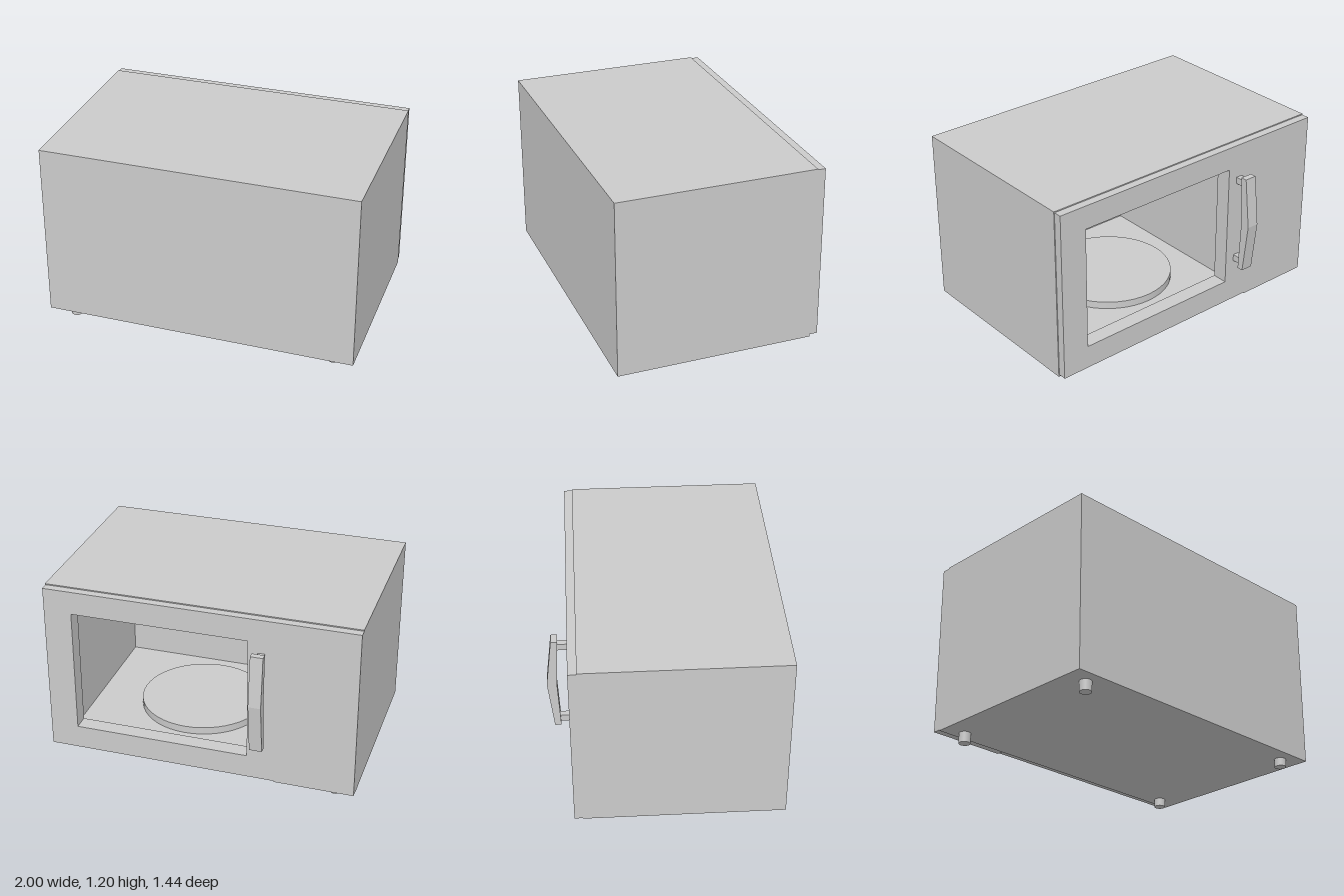
import * as THREE from 'three';

const material = new THREE.MeshStandardMaterial({ color: 0xcccccc, flatShading: true });
const smooth = new THREE.MeshStandardMaterial({ color: 0xcccccc });
const openSided = new THREE.MeshStandardMaterial({ color: 0xcccccc, flatShading: true, side: THREE.DoubleSide });

function add(group, name, geometry, mat = material) {
  const mesh = new THREE.Mesh(geometry, mat);
  mesh.name = name;
  group.add(mesh);
  return mesh;
}

const points = (list) => list.map(([x, y]) => new THREE.Vector2(x, y));
const rect = (x0, x1, y0, y1) => points([[x0, y0], [x1, y0], [x1, y1], [x0, y1]]);

// Box given by its limits on each axis
function box(x0, x1, y0, y1, z0, z1) {
  return new THREE.BoxGeometry(x1 - x0, y1 - y0, z1 - z0)
    .translate((x0 + x1) / 2, (y0 + y1) / 2, (z0 + z1) / 2);
}

// Box without its -z wall (the last six indices)
function openBox(...limits) {
  const geometry = box(...limits);
  geometry.setIndex(Array.from(geometry.index.array).slice(0, 30));
  geometry.clearGroups();
  return geometry;
}

// Upright panel with the window cut out
function windowPanel(outline, z0, z1) {
  const shape = new THREE.Shape(outline);
  shape.holes.push(new THREE.Path(rect(-0.315, 0.815, 0.232, 1.045)));
  return new THREE.ExtrudeGeometry(shape, { depth: z1 - z0, bevelEnabled: false }).translate(0, 0, z0);
}

export function createModel() {
  const model = new THREE.Group();
  model.name = 'microwaveOven';

  // Casing, cooking chamber and the wall around its opening
  add(model, 'casing', openBox(-1, 1, 0.067, 1.203, -0.48, 0.72), openSided);
  add(model, 'cookingChamber', openBox(-0.4, 0.86, 0.187, 1.08, -0.48, 0.58), openSided);
  add(model, 'openingFrame', windowPanel(rect(-1, 1, 0.067, 1.203), -0.53, -0.48));

  // Door panel, slightly lower below the controls
  add(model, 'doorPanel', windowPanel(points([
    [-1, 0.072], [-0.49, 0.072], [-0.49, 0.079], [0.995, 0.079], [0.995, 1.196], [-1, 1.196],
  ]), -0.582, -0.53));

  // Turntable plate
  add(model, 'turntable', new THREE.CylinderGeometry(0.41, 0.41, 0.048, 48), smooth)
    .position.set(0.16, 0.211, 0.03);

  // Bent handle bar on two posts
  const handle = new THREE.Group();
  handle.name = 'handle';
  const profile = new THREE.Shape(points([
    [-0.645, 1.003], [-0.685, 1.003], [-0.722, 0.677], [-0.685, 0.35], [-0.645, 0.35], [-0.66, 0.677],
  ]));
  add(handle, 'handleBar', new THREE.ExtrudeGeometry(profile, { depth: 0.08, bevelEnabled: false })
    .rotateY(-Math.PI / 2).translate(-0.36, 0, 0));
  for (const y of [0.39, 0.952]) {
    add(handle, 'handlePost', box(-0.422, -0.38, y - 0.022, y + 0.022, -0.65, -0.58));
  }
  model.add(handle);

  // Feet: x, z, bottom height
  for (const [x, z, y] of [[-0.86, 0.622, 0], [-0.86, -0.455, 0], [0.857, 0.622, 0.015], [0.857, -0.448, 0.015]]) {
    const height = 0.07 - y;
    add(model, 'foot', new THREE.CylinderGeometry(0.037, 0.037, height, 24), smooth)
      .position.set(x, y + height / 2, z);
  }

  return model;
}
